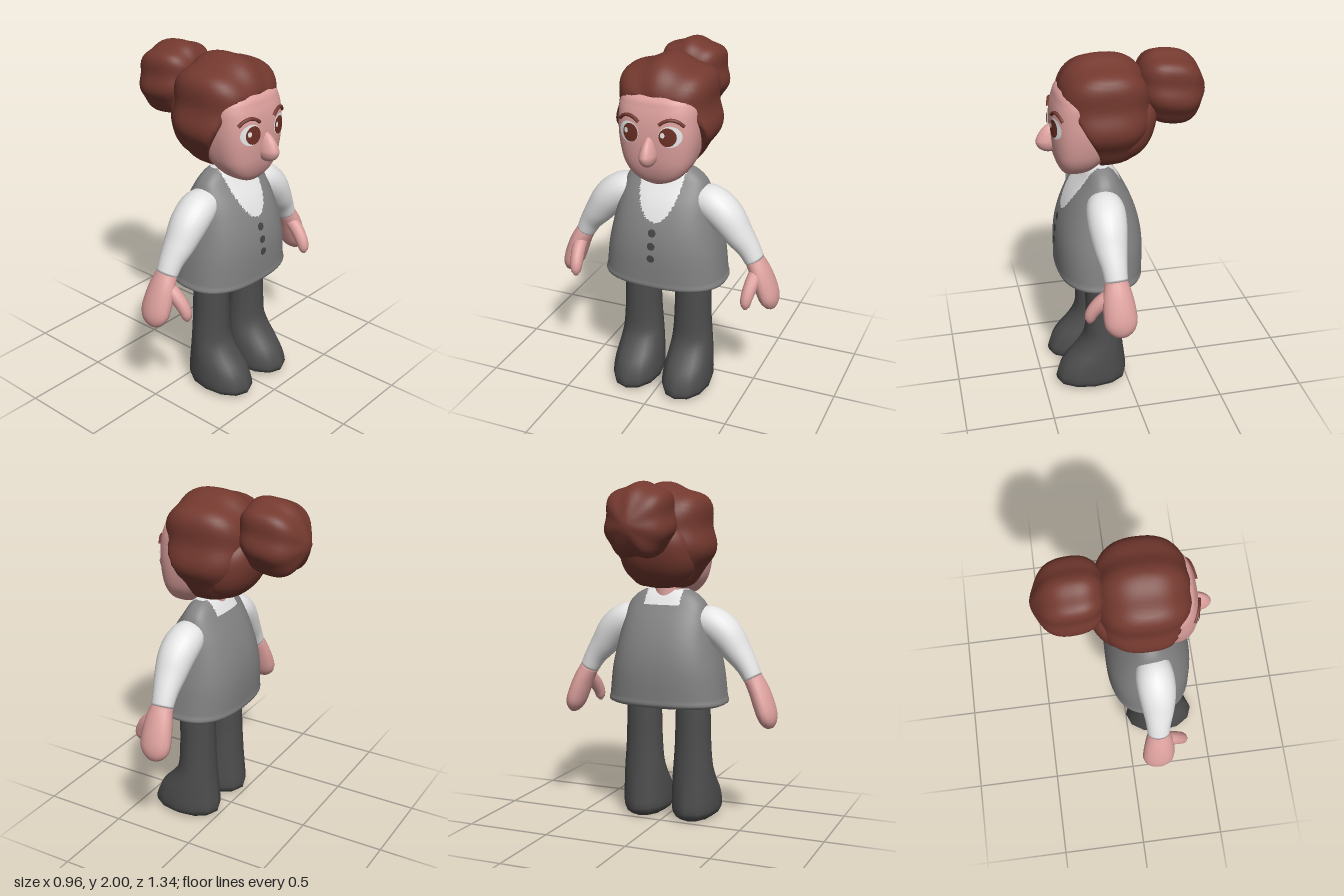
import * as THREE from 'three';
import { mergeVertices } from 'three/addons/utils/BufferGeometryUtils.js';

const V = (x, y, z) => new THREE.Vector3(x, y, z);
const paint = (name, color) => {
  const m = new THREE.MeshStandardMaterial({ color });
  m.name = name;
  return m;
};

// Smooth interpolation of rows [t, a, b, c...] at t
function sample(rows, t) {
  let i = 0;
  while (i < rows.length - 2 && t > rows[i + 1][0]) i++;
  const a = rows[i], b = rows[i + 1], p = rows[Math.max(i - 1, 0)], n = rows[Math.min(i + 2, rows.length - 1)];
  const h = b[0] - a[0], s = (t - a[0]) / h, s2 = s * s, s3 = s2 * s;
  return a.map((_, k) => {
    const ma = (b[k] - p[k]) / (b[0] - p[0]) * h, mb = (n[k] - a[k]) / (n[0] - a[0]) * h;
    return (2 * s3 - 3 * s2 + 1) * a[k] + (s3 - 2 * s2 + s) * ma + (3 * s2 - 2 * s3) * b[k] + (s3 - s2) * mb;
  });
}

const sgnPow = (v, e) => Math.sign(v) * Math.abs(v) ** e;

// Closed skin over rings of points; pick(centroid) gives a material index
function loft(rings, pick) {
  const n = rings[0].length, pts = rings.flat(), tris = [];
  for (let i = 0; i < rings.length - 1; i++) for (let j = 0; j < n; j++) {
    const a = i * n + j, b = i * n + (j + 1) % n, c = a + n, d = b + n;
    tris.push([a, c, b], [b, c, d]);
  }
  [0, rings.length - 1].forEach((r, end) => {
    const mid = rings[r].reduce((s, p) => s.add(p), V(0, 0, 0)).divideScalar(n);
    const m = pts.push(mid) - 1;
    for (let j = 0; j < n; j++) {
      const a = r * n + j, b = r * n + (j + 1) % n;
      tris.push(end ? [a, m, b] : [a, b, m]);
    }
  });
  const g = new THREE.BufferGeometry().setFromPoints(pts);
  const sets = [[], []];
  for (const t of tris) {
    const c = V(0, 0, 0);
    t.forEach(k => c.add(pts[k]));
    sets[pick ? pick(c.divideScalar(3)) : 0].push(...t);
  }
  g.setIndex(sets.flat());
  if (pick) {
    g.addGroup(0, sets[0].length, 0);
    g.addGroup(sets[0].length, sets[1].length, 1);
  }
  g.computeVertexNormals();
  return g;
}

// Upright body from rows [y, back x, front x, half width]
function upright(rows, steps, sides, power, pick, zc = 0) {
  const rings = [], y0 = rows[0][0], y1 = rows[rows.length - 1][0];
  for (let i = 0; i <= steps; i++) {
    const [y, xa, xb, rz] = sample(rows, y0 + (y1 - y0) * i / steps), ring = [];
    for (let j = 0; j < sides; j++) {
      const a = j / sides * Math.PI * 2, e = 2 / power;
      ring.push(V((xa + xb) / 2 + (xb - xa) / 2 * sgnPow(Math.cos(a), e), y, zc + rz * sgnPow(Math.sin(a), e)));
    }
    rings.push(ring);
  }
  return loft(rings, pick);
}

// Limb along rows [t, x, y, z, radius in x, radius across]
function limb(rows, side, steps = 20, sides = 16) {
  const rings = [], last = rows[rows.length - 1][0], X = V(1, 0, 0);
  const at = t => { const r = sample(rows, t); return V(r[1], r[2], r[3] * side); };
  for (let i = 0; i <= steps; i++) {
    const t = last * i / steps, r = sample(rows, t), c = at(t);
    const d = at(Math.min(t + 0.02, last)).sub(at(Math.max(t - 0.02, 0))).normalize();
    const u = X.clone().addScaledVector(d, -d.x).normalize(), v = u.clone().cross(d);
    rings.push(Array.from({ length: sides }, (_, j) => {
      const a = j / sides * Math.PI * 2;
      return c.clone().addScaledVector(u, Math.cos(a) * r[4]).addScaledVector(v, Math.sin(a) * r[5]);
    }));
  }
  return loft(rings);
}

// Rounded blob whose points are shaped by a rule
function blob(c, r, power, rule) {
  let g = new THREE.SphereGeometry(1, 64, 40);
  g.deleteAttribute('uv');
  g.deleteAttribute('normal');
  g = mergeVertices(g, 1e-5);
  const pos = g.attributes.position, d = V(0, 0, 0);
  for (let i = 0; i < pos.count; i++) {
    d.fromBufferAttribute(pos, i);
    const f = (Math.abs(d.x) ** power + Math.abs(d.y) ** power + Math.abs(d.z) ** power) ** (-1 / power);
    const p = V(d.x * r[0] * f, d.y * r[1] * f, d.z * r[2] * f);
    if (rule) rule(p, d);
    pos.setXYZ(i, p.x + c[0], p.y + c[1], p.z + c[2]);
  }
  g.computeVertexNormals();
  return g;
}

// Front surface x of an upright body at height y, sideways z
function frontX(rows, power, y, z) {
  const [, xa, xb, rz] = sample(rows, y);
  return (xa + xb) / 2 + (xb - xa) / 2 * Math.max(0, 1 - Math.abs(z / rz) ** power) ** (1 / power);
}

// Thin round patch lying on the front of a body
function patch(rows, power, y, z, rz, ry, lift) {
  const g = new THREE.RingGeometry(0.0001, 1, 28, 4), pos = g.attributes.position;
  for (let i = 0; i < pos.count; i++) {
    const zz = z - pos.getX(i) * rz, yy = y + pos.getY(i) * ry;
    pos.setXYZ(i, frontX(rows, power, yy, zz) + lift, yy, zz);
  }
  g.computeVertexNormals();
  return g;
}

const HEAD = [[1.32, 0.25, 0.31, 0.03], [1.335, 0.215, 0.33, 0.08], [1.37, 0.16, 0.355, 0.14], [1.43, 0.1, 0.378, 0.187],
  [1.5, 0.05, 0.39, 0.212], [1.6, 0.02, 0.395, 0.228], [1.7, 0.02, 0.387, 0.23], [1.77, 0.02, 0.37, 0.225],
  [1.82, 0.03, 0.345, 0.2], [1.87, 0.06, 0.25, 0.13]];
const TORSO = [[0.695, -0.06, 0.34, 0.31], [0.71, -0.1, 0.38, 0.357], [0.75, -0.106, 0.385, 0.353], [0.9, -0.11, 0.385, 0.335],
  [1, -0.1, 0.373, 0.315], [1.1, -0.075, 0.345, 0.292], [1.2, -0.035, 0.3, 0.268], [1.3, 0.02, 0.235, 0.232],
  [1.35, 0.05, 0.205, 0.185], [1.378, 0.075, 0.18, 0.135]];
const LEG = [[0, 0.04, 0.37, 0.1], [0.02, 0.01, 0.415, 0.13], [0.06, 0, 0.425, 0.14], [0.15, 0.008, 0.385, 0.138], [0.25, 0.02, 0.295, 0.128],
  [0.32, 0.025, 0.255, 0.12], [0.45, 0.03, 0.243, 0.11], [0.65, 0.032, 0.24, 0.104], [0.76, 0.035, 0.235, 0.1]];
const SLEEVE = [[0, 0.14, 1.2, 0.19, 0.09, 0.085], [0.15, 0.14, 1.185, 0.27, 0.108, 0.1], [0.3, 0.145, 1.125, 0.35, 0.108, 0.102],
  [0.5, 0.145, 1.03, 0.425, 0.092, 0.084], [0.75, 0.14, 0.95, 0.485, 0.073, 0.066], [1, 0.137, 0.878, 0.525, 0.064, 0.056]];
const HAND = [[0, 0.137, 0.885, 0.522, 0.063, 0.054], [0.25, 0.137, 0.81, 0.562, 0.083, 0.058], [0.55, 0.133, 0.72, 0.598, 0.093, 0.06],
  [0.8, 0.13, 0.655, 0.62, 0.088, 0.054], [0.93, 0.13, 0.615, 0.632, 0.062, 0.038], [1, 0.13, 0.595, 0.638, 0.03, 0.018]];
const THUMB = [[0, 0.15, 0.83, 0.545, 0.035, 0.035], [0.4, 0.22, 0.775, 0.54, 0.042, 0.04], [0.75, 0.275, 0.705, 0.53, 0.037, 0.035],
  [0.93, 0.288, 0.66, 0.528, 0.027, 0.026], [1, 0.29, 0.64, 0.528, 0.01, 0.01]];
const HAIRLINE = [[1.38, 0.135], [1.42, 0.14], [1.5, 0.165], [1.63, 0.235], [1.79, 0.325], [1.84, 0.36], [2.1, 0.36]];

export function createModel() {
  const model = new THREE.Group();
  const skin = paint('skin', 0xdca09d), hair = paint('hair', 0x74392f), shirt = paint('shirt', 0xe4e4e4), vest = paint('vest', 0x828282);
  const trousers = paint('trousers', 0x4d4d4d), button = paint('button', 0x444444), white = paint('eyeWhite', 0xf2f2f2), iris = paint('iris', 0x6b2f24);
  const add = (name, geo, mat) => {
    const m = new THREE.Mesh(geo, mat);
    m.name = name;
    model.add(m);
  };

  // Vest with the shirt showing in the neckline
  const neckline = c => {
    const drop = Math.max(0, 1.36 - c.y) / 0.26;
    if (c.x > 0.12) return drop < 1 && Math.abs(c.z) < 0.127 * Math.sqrt(1 - drop * drop) ? 1 : 0;
    return c.y > 1.29 && Math.abs(c.z) < 0.11 ? 1 : 0;
  };
  add('torso', upright(TORSO, 80, 120, 2.5, neckline), [vest, shirt]);
  for (const y of [1.045, 0.97, 0.897]) add('button', patch(TORSO, 2.5, y, 0, 0.023, 0.022, 0.005), button);

  // Neck and head
  add('neck', new THREE.CylinderGeometry(0.07, 0.08, 0.16, 24).translate(0.125, 1.41, 0), skin);
  add('head', upright(HEAD, 48, 64, 2.8), skin);
  add('nose', blob([0.4, 1.52, 0], [0.075, 0.065, 0.047], 2, p => {
    if (p.y > 0) {
      p.x -= p.y * 0.45;
      p.z *= 1 - p.y * 4;
      p.y *= 1.6;
    }
  }), skin);

  // Hair: ridged cap cut at the hairline, nape roll and bun
  const ridges = (count, amount) => (p, d) => {
    const k = amount * Math.cos(count * Math.atan2(d.z, d.y)) * Math.hypot(d.y, d.z);
    p.x *= 1 + k / 2;
    p.y *= 1 + k;
    p.z *= 1 + k;
  };
  const capRidges = ridges(7, 0.05);
  add('hairCap', blob([0.1, 1.69, 0], [0.255, 0.295, 0.275], 2.6, (p, d) => {
    capRidges(p, d);
    const y = Math.max(1.38, p.y + 1.69);
    p.x = Math.min(p.x, sample(HAIRLINE, y)[1] - 0.1);
  }), hair);
  add('hairNape', blob([-0.02, 1.59, 0], [0.17, 0.2, 0.225], 2.3, p => { p.x -= p.y * 0.25; }), hair);
  const bunRidges = ridges(7, 0.045);
  add('hairBun', blob([-0.275, 1.79, 0], [0.18, 0.2, 0.185], 2.6, (p, d) => {
    bunRidges(p, d);
    p.x -= 0.03 * Math.max(0, -d.x) ** 12;
    p.y += p.x * 0.12;
  }), hair);

  for (const side of [1, -1]) {
    // Eyes and brows
    add('eyeWhite', patch(HEAD, 2.8, 1.632, side * 0.118, 0.061, 0.058, 0.004), white);
    add('iris', patch(HEAD, 2.8, 1.63, side * 0.107, 0.047, 0.051, 0.007), iris);
    add('eyeGlint', patch(HEAD, 2.8, 1.64, side * 0.107 + 0.026, 0.012, 0.015, 0.009), white);
    const brow = [[0.185, 1.688], [0.155, 1.714], [0.12, 1.722], [0.085, 1.712], [0.058, 1.693]]
      .map(([z, y]) => V(frontX(HEAD, 2.8, y, z) + 0.004, y, z * side));
    add('eyebrow', new THREE.TubeGeometry(new THREE.CatmullRomCurve3(brow), 20, 0.01, 8), hair);

    // Arms and legs
    add('sleeve', limb(SLEEVE, side, 24, 24), shirt);
    add('hand', limb(HAND, side), skin);
    add('thumb', limb(THUMB, side, 14, 12), skin);
    add('leg', upright(LEG, 30, 12, 2.1, null, side * 0.157), trousers);
  }
  return model;
}
